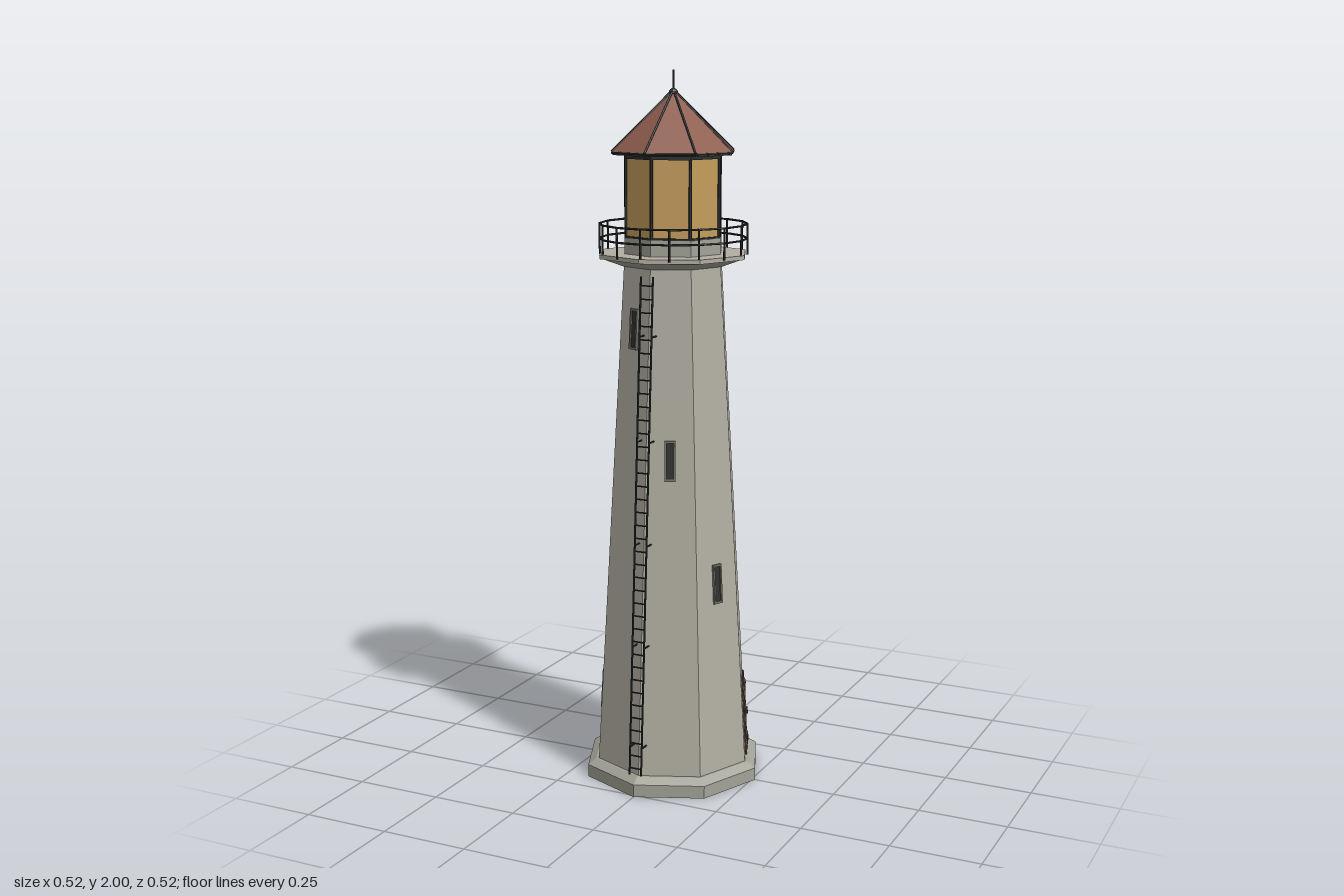
import * as THREE from 'three';

const mat = (color) => new THREE.MeshStandardMaterial({ color, flatShading: true });
const STONE = mat(0xb2aea2), TRIM = mat(0xa3a398), FRAME = mat(0x77766c), IRON = mat(0x2b2e2e);
const ROOF = mat(0x8c5c4c), GLASS = mat(0xc59d5c), DARK = mat(0x30322f);
const WOOD = mat(0x6b4a33), BRACE = mat(0x7d583c), SHADE = mat(0x45443f);

const V = (x, y, z) => new THREE.Vector3(x, y, z);
const polar = (r, a, y) => V(r * Math.sin(a), y, r * Math.cos(a));

function add(parent, name, geometry, material, x = 0, y = 0, z = 0) {
  const m = new THREE.Mesh(geometry, material);
  m.name = name;
  m.position.set(x, y, z);
  parent.add(m);
  return m;
}

const box = (parent, name, w, h, d, material, x, y, z) =>
  add(parent, name, new THREE.BoxGeometry(w, h, d), material, x, y, z);

// Octagonal frustum between two heights, corners on the axes
const octagon = (parent, name, y0, r0, y1, r1, material, rows = 1) =>
  add(parent, name, new THREE.CylinderGeometry(r1, r0, y1 - y0, 8, rows), material, 0, (y0 + y1) / 2, 0);

// Thin round bar from a to b
function bar(parent, name, a, b, r, material = IRON) {
  const m = add(parent, name, new THREE.CylinderGeometry(r, r, a.distanceTo(b), 6), material);
  m.position.copy(a).lerp(b, 0.5);
  m.quaternion.setFromUnitVectors(V(0, 1, 0), b.clone().sub(a).normalize());
  return m;
}

// Tower taper
const Y0 = 0.05, Y1 = 1.48, R0 = 0.228, R1 = 0.143;
const slope = (R0 - R1) / (Y1 - Y0);
const radiusAt = (y) => R0 - slope * (y - Y0);
const APOTHEM = Math.cos(Math.PI / 8);

// Group lying on a tower facet, local +z pointing outward
function onFacet(parent, name, degrees, y) {
  const g = new THREE.Group(), a = THREE.MathUtils.degToRad(degrees);
  g.name = name;
  g.position.copy(polar(radiusAt(y) * APOTHEM, a, y));
  g.rotation.set(-Math.atan(slope * APOTHEM), a, 0, 'YXZ');
  parent.add(g);
  return g;
}

function addWindow(parent, degrees, y) {
  const g = onFacet(parent, 'window', degrees, y);
  box(g, 'windowPane', 0.022, 0.1, 0.006, DARK, 0, 0, 0);
  for (const s of [-1, 1]) {
    box(g, 'windowJamb', 0.005, 0.112, 0.014, FRAME, s * 0.0125, 0, 0);
    box(g, 'windowLintel', 0.03, 0.006, 0.014, FRAME, 0, s * 0.053, 0);
  }
}

function addDoor(parent) {
  const g = onFacet(parent, 'door', 112.5, 0.167);
  box(g, 'doorBacking', 0.08, 0.232, 0.008, DARK, 0, 0, 0);
  for (let i = 0; i < 5; i++) box(g, 'doorPlank', 0.0145, 0.228, 0.012, WOOD, (i - 2) * 0.0156, 0, 0);
  for (const y of [-0.08, 0.085]) {
    box(g, 'doorRail', 0.072, 0.016, 0.018, BRACE, 0, y, 0);
    box(g, 'hingeStrap', 0.06, 0.005, 0.021, IRON, -0.006, y, 0);
  }
  box(g, 'doorBrace', 0.014, 0.165, 0.016, BRACE, 0, 0, 0).rotation.z = -0.36;
  box(g, 'doorHandle', 0.005, 0.02, 0.024, IRON, 0.03, -0.005, 0);
}

function addLadder(parent) {
  const g = new THREE.Group();
  g.name = 'ladder';
  parent.add(g);
  const at = (x, y, off = 0.02) => V(x, y, radiusAt(y) + off);
  for (const x of [-0.018, 0.018]) {
    bar(g, 'ladderRail', at(x, 0.06), at(x, 1.455), 0.0028);
    for (let i = 0; i < 5; i++) {
      const y = 0.14 + i * 0.288;
      bar(g, 'ladderBracket', at(x, y), at(x, y, -0.012), 0.0025);
    }
  }
  for (let i = 0; i < 38; i++) {
    const y = 0.08 + i * 0.0365;
    bar(g, 'ladderRung', at(-0.018, y), at(0.018, y), 0.0022);
  }
}

function addRailing(parent) {
  const g = new THREE.Group(), n = 16, r = 0.204;
  g.name = 'galleryRailing';
  parent.add(g);
  for (let i = 0; i < n; i++) {
    const a = (i / n) * Math.PI * 2, b = ((i + 1) / n) * Math.PI * 2;
    bar(g, 'railingPost', polar(r, a, 1.5), polar(r, a, 1.585), 0.0028);
    for (const y of [1.545, 1.585]) bar(g, 'handrail', polar(r, a, y), polar(r, b, y), 0.003);
  }
}

export function createModel() {
  const model = new THREE.Group();
  model.name = 'lighthouse';

  // Plinth and tapering tower
  octagon(model, 'plinth', 0, 0.26, 0.036, 0.26, TRIM);
  octagon(model, 'plinthBevel', 0.036, 0.26, 0.052, 0.236, TRIM);
  octagon(model, 'tower', Y0, R0, Y1, R1, STONE, 4);

  // Two spirals of windows, and the door
  for (const [degrees, y] of [[-22.5, 1.305], [22.5, 0.95], [67.5, 0.593]]) {
    addWindow(model, degrees, y);
    addWindow(model, 180 - 0 + degrees, y);
  }
  addWindow(model, -67.5, 0.236);
  addDoor(model);
  addLadder(model);

  // Gallery
  octagon(model, 'galleryCorbel', 1.472, 0.146, 1.494, 0.205, TRIM);
  octagon(model, 'galleryDeck', 1.494, 0.214, 1.506, 0.214, STONE);
  addRailing(model);

  // Lantern room
  octagon(model, 'lanternBase', 1.506, 0.142, 1.55, 0.142, TRIM);
  octagon(model, 'lanternGlass', 1.55, 0.136, 1.775, 0.136, GLASS);
  octagon(model, 'lanternSill', 1.548, 0.142, 1.555, 0.142, IRON);
  octagon(model, 'lanternHead', 1.764, 0.142, 1.776, 0.142, IRON);

  // Roof with eave
  octagon(model, 'roofEave', 1.774, 0.174, 1.783, 0.177, SHADE);
  octagon(model, 'roof', 1.783, 0.177, 1.94, 0.008, ROOF);
  for (let i = 0; i < 8; i++) {
    const a = (i * Math.PI) / 4, b = a + Math.PI / 4;
    bar(model, 'lanternMullion', polar(0.137, a, 1.55), polar(0.137, a, 1.775), 0.0045);
    bar(model, 'roofRib', polar(0.177, a, 1.783), polar(0.008, a, 1.94), 0.0032);
    bar(model, 'eaveTrim', polar(0.176, a, 1.78), polar(0.176, b, 1.78), 0.003);
  }

  // Finial and spire
  add(model, 'finial', new THREE.SphereGeometry(0.013, 10, 8), IRON, 0, 1.938, 0);
  bar(model, 'spire', V(0, 1.94, 0), V(0, 2, 0), 0.003);
  return model;
}
